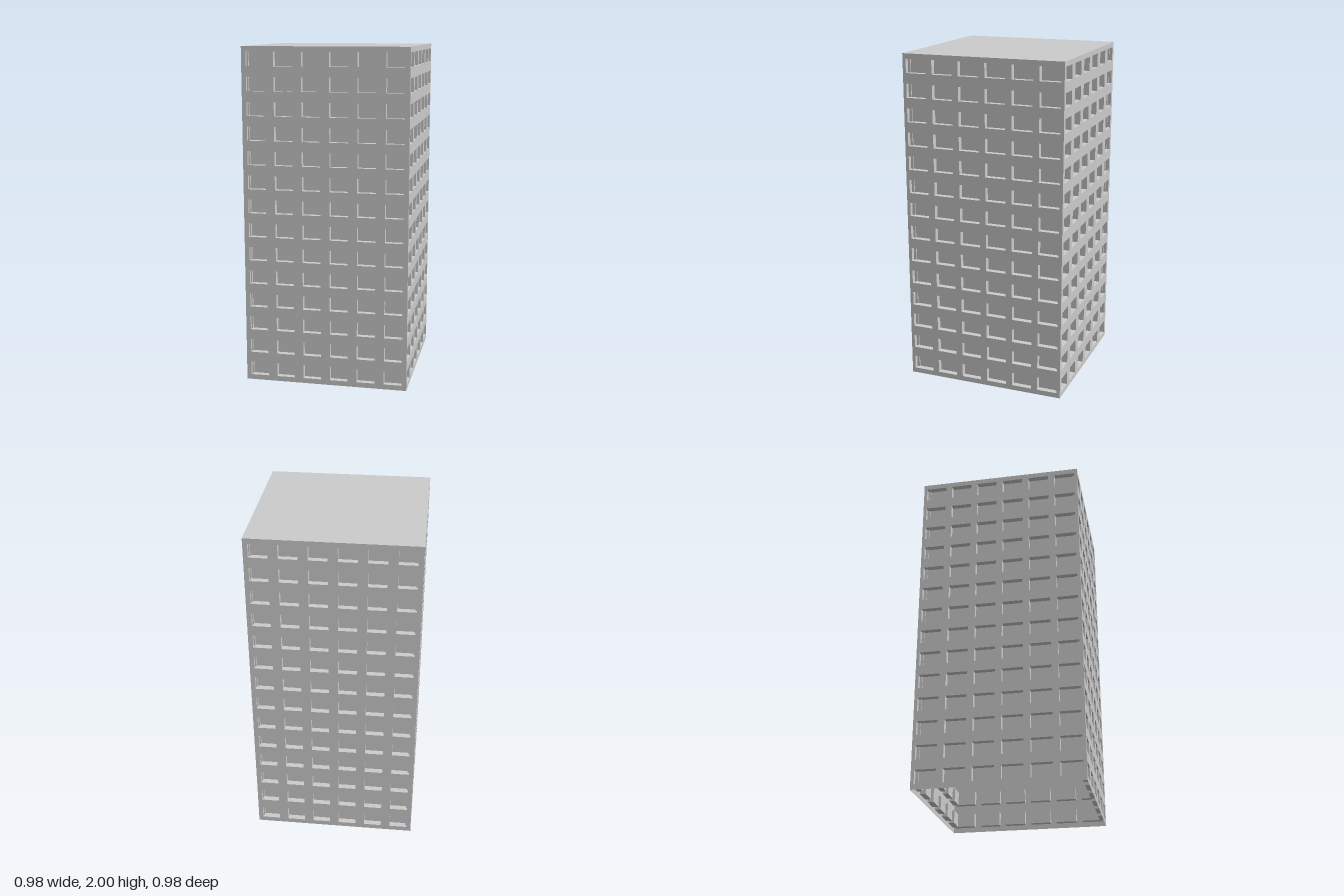
import * as THREE from 'three';
import { mergeGeometries } from 'three/addons/utils/BufferGeometryUtils.js';

const WIDTH = 0.976, HEIGHT = 2, COLS = 6, ROWS = 14;
const WINDOW_H = 0.082, RECESS = 0.035;

const material = new THREE.MeshStandardMaterial({ color: 0xcccccc, side: THREE.DoubleSide });

function rectangle(PathType, x0, y0, x1, y1) {
  return new PathType([[x0, y0], [x1, y0], [x1, y1], [x0, y1]].map(([x, y]) => new THREE.Vector2(x, y)));
}

// Box without its outer (+z) face, turned inside out to form a window niche
function nicheGeometry(w, h, d) {
  const box = new THREE.BoxGeometry(w, h, d);
  const index = Array.from(box.index.array);
  index.splice(24, 6);
  box.setIndex(index.reverse());
  box.clearGroups();
  box.computeVertexNormals();
  return box.translate(0, 0, -d / 2);
}

// One wall sheet pierced by a grid of recessed windows, facing +z at the tower's edge
function createFacade(name, windowW) {
  const wall = rectangle(THREE.Shape, -WIDTH / 2, 0, WIDTH / 2, HEIGHT);
  const niche = nicheGeometry(windowW, WINDOW_H, RECESS);
  const niches = [];
  for (let row = 0; row < ROWS; row++) {
    for (let col = 0; col < COLS; col++) {
      const x = ((col + 0.5) / COLS - 0.5) * WIDTH;
      const y = ((row + 0.5) / ROWS) * HEIGHT;
      wall.holes.push(rectangle(THREE.Path,
        x - windowW / 2, y - WINDOW_H / 2, x + windowW / 2, y + WINDOW_H / 2));
      niches.push(niche.clone().translate(x, y, 0));
    }
  }
  const wallMesh = new THREE.Mesh(new THREE.ShapeGeometry(wall), material);
  wallMesh.name = name + 'Wall';
  const windowMesh = new THREE.Mesh(mergeGeometries(niches), material);
  windowMesh.name = name + 'Windows';

  const facade = new THREE.Group();
  facade.name = name + 'Facade';
  facade.add(wallMesh, windowMesh);
  wallMesh.position.z = windowMesh.position.z = WIDTH / 2;
  return facade;
}

export function createModel() {
  const tower = new THREE.Group();
  tower.name = 'towerBlock';

  // Four facades; the side windows are a little wider than front and back
  [['front', 0.108], ['left', 0.124], ['back', 0.108], ['right', 0.124]].forEach(([name, w], i) => {
    const facade = createFacade(name, w);
    facade.rotation.y = (i * Math.PI) / 2;
    tower.add(facade);
  });

  // Flat roof; the underside of the tower stays open
  const roof = new THREE.Mesh(new THREE.PlaneGeometry(WIDTH, WIDTH).rotateX(-Math.PI / 2), material);
  roof.name = 'roof';
  roof.position.y = HEIGHT;
  tower.add(roof);

  return tower;
}
